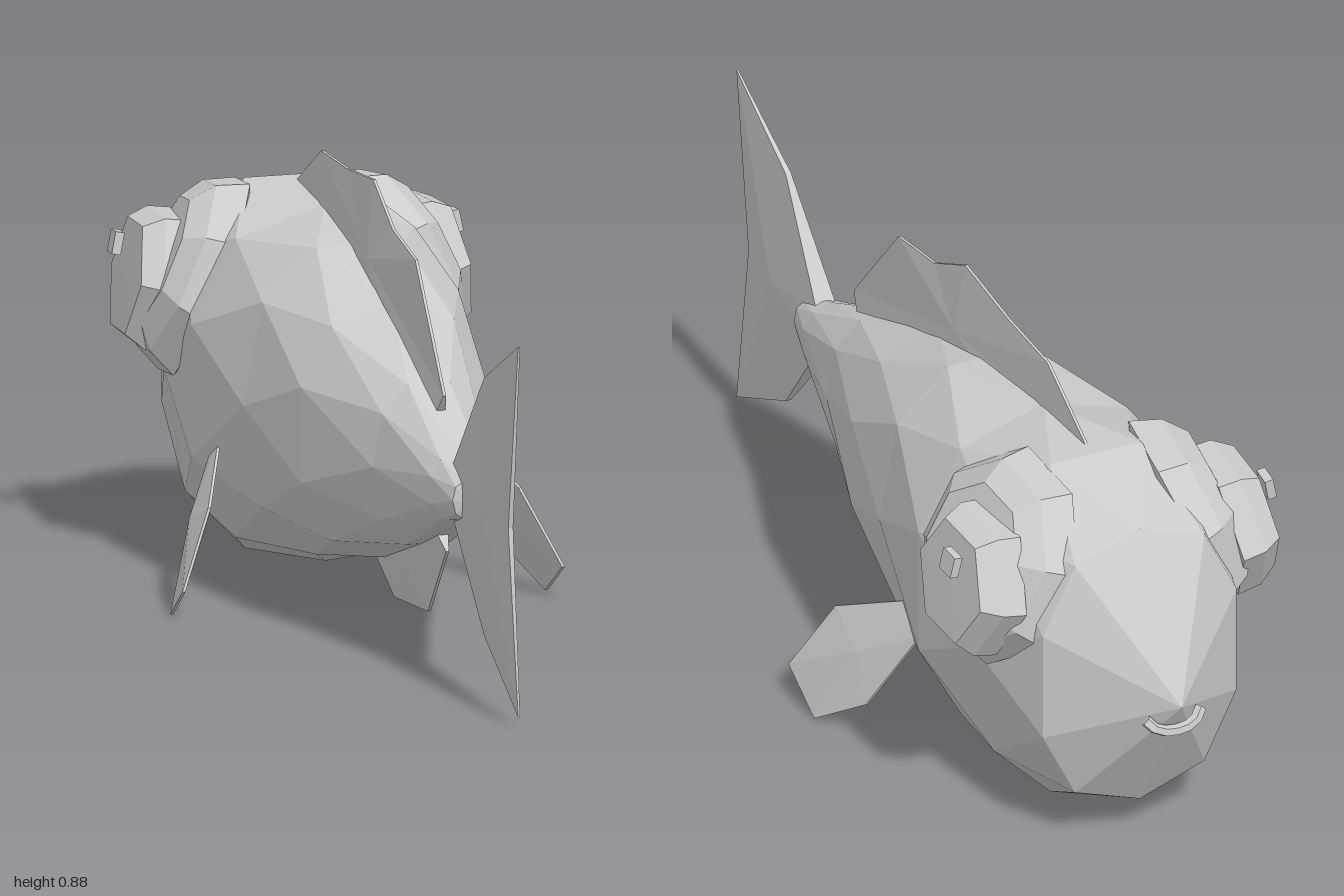
import * as THREE from 'three';

const grey = new THREE.MeshStandardMaterial({ color: 0xcccccc, flatShading: true });
grey.name = 'plain grey';

function mesh(name, geometry) {
  const m = new THREE.Mesh(geometry, grey);
  m.name = name;
  return m;
}

function fromTriangles(points, faces) {
  const g = new THREE.BufferGeometry();
  g.setAttribute('position', new THREE.Float32BufferAttribute(points.flat(), 3));
  g.setIndex(faces.flat());
  const flat = g.toNonIndexed();
  flat.computeVertexNormals();
  return flat;
}

// Body: staggered ten-sided rings from nose to tail stem
function bodyGeometry() {
  const N = 10;
  // z, bottom, top, half width
  const rings = [
    [-0.81, 0.08, 0.70, 0.212], [-0.61, 0.015, 0.765, 0.265], [-0.38, 0.035, 0.757, 0.275],
    [-0.13, 0.11, 0.73, 0.24], [0.1, 0.15, 0.668, 0.188], [0.36, 0.238, 0.56, 0.116],
    [0.58, 0.325, 0.472, 0.06], [0.665, 0.355, 0.435, 0.04],
  ];
  const soft = (v) => Math.sign(v) * Math.abs(v) ** 0.84;
  const points = [[0, 0.39, -1]];
  const faces = [];
  rings.forEach(([z, lo, hi, w], i) => {
    const shift = (i % 2) / 2;
    const step = (2 * Math.PI) / N;
    const topMax = soft(Math.cos(shift * step));
    const sideMax = shift ? 1 : soft(Math.sin(2 * step));
    for (let j = 0; j < N; j++) {
      const t = (j + shift) * step;
      points.push([
        w * soft(Math.sin(t)) / sideMax,
        (lo + hi) / 2 + ((hi - lo) / 2) * soft(Math.cos(t)) / topMax,
        z,
      ]);
    }
  });
  const at = (i, j) => 1 + i * N + (j % N);
  const last = rings.length - 1;
  points.push([0, 0.395, 0.68]);
  for (let j = 0; j < N; j++) {
    faces.push([0, at(0, j), at(0, j + 1)]);
    for (let i = 0; i < last; i++) {
      const k = j + (i % 2);
      faces.push([at(i, j), at(i + 1, k), at(i, j + 1)]);
      faces.push([at(i, j + 1), at(i + 1, k), at(i + 1, k + 1)]);
    }
    faces.push([at(last, j), points.length - 1, at(last, j + 1)]);
  }
  return fromTriangles(points, faces);
}

// Fin: closed lens over an outline of [x, y, z, half thickness], thickened along x
function finGeometry(outline) {
  const n = outline.length;
  const mid = [0, 1, 2].map((k) => outline.reduce((s, p) => s + p[k], 0) / n);
  const points = [];
  for (const s of [1, -1]) {
    for (const [x, y, z, t] of outline) points.push([x + s * t, y, z]);
    points.push([mid[0] + s * 0.02, mid[1], mid[2]]);
  }
  // Direction of the outline decides which way the corners run
  let area = 0;
  outline.forEach((p, i) => {
    const q = outline[(i + 1) % n];
    area += p[1] * q[2] - q[1] * p[2];
  });
  const faces = [];
  for (let i = 0; i < n; i++) {
    const a = i, b = (i + 1) % n, c = a + n + 1, d = b + n + 1;
    faces.push([n, a, b], [2 * n + 1, d, c], [a, c, b], [b, c, d]);
  }
  return fromTriangles(points, area > 0 ? faces : faces.map((f) => [f[0], f[2], f[1]]));
}

function lathe(profile, sides, start) {
  const pts = profile.map(([r, y]) => new THREE.Vector2(r, y));
  return new THREE.LatheGeometry(pts, sides, start);
}

// Points a lathe or box axis outward from the head
function aim(object, side, x, y, z, up, forward) {
  object.position.set(side * x, y, z);
  const axis = new THREE.Vector3(side, up, -forward).normalize();
  object.quaternion.setFromUnitVectors(new THREE.Vector3(0, 1, 0), axis);
  return object;
}

// Eye: domed eight-sided socket, bevelled six-sided ball and a small glint
function eye(side, label) {
  const g = new THREE.Group();
  g.name = label + 'Eye';
  const socket = mesh('eyeSocket', lathe([[0, -0.03], [0.15, -0.03], [0.22, 0], [0.19, 0.06], [0.14, 0.095], [0, 0.1]], 8, Math.PI / 8));
  const ball = mesh('eyeball', lathe([[0, -0.03], [0.155, -0.03], [0.152, 0.02], [0.125, 0.06], [0, 0.062]], 6, 0));
  const glint = mesh('eyeGlint', new THREE.BoxGeometry(0.045, 0.018, 0.045));
  g.add(
    aim(socket, side, 0.186, 0.573, -0.598, 0.44, 0.16),
    aim(ball, side, 0.274, 0.565, -0.638, 0.18, 0.05),
    aim(glint, side, 0.346, 0.637, -0.67, 0.2, 0.08),
  );
  return g;
}

export function createModel() {
  const model = new THREE.Group();
  model.name = 'fish';
  model.add(mesh('body', bodyGeometry()));

  // Fins on the centre line
  model.add(mesh('dorsalFin', finGeometry([
    [0, 0.56, 0.47, 0.003], [0, 0.79, 0.27, 0.003], [0, 0.815, 0.11, 0.003],
    [0, 0.885, -0.03, 0.003], [0, 0.865, -0.22, 0.003], [0, 0.86, -0.4, 0.003],
    [0, 0.765, -0.57, 0.003], [0, 0.68, -0.3, 0.02], [0, 0.6, 0.1, 0.025], [0, 0.49, 0.42, 0.015],
  ])));
  model.add(mesh('analFin', finGeometry([
    [0, 0.25, 0.49, 0.003], [0, 0.1, 0.36, 0.003], [0, 0.075, 0.12, 0.003],
    [0, 0.13, 0, 0.005], [0, 0.22, 0.08, 0.02], [0, 0.31, 0.42, 0.02],
  ])));
  model.add(mesh('tailFin', finGeometry([
    [0, 0.45, 0.6, 0.022], [0, 0.665, 0.77, 0.006], [0, 0.78, 1, 0.002], [0, 0.4, 0.94, 0.005],
    [0, 0.03, 1, 0.002], [0, 0.145, 0.77, 0.006], [0, 0.35, 0.6, 0.022],
  ])));

  // Paired fins and eyes
  for (const [side, label] of [[1, 'left'], [-1, 'right']]) {
    const outline = [
      [0.25, 0.31, -0.27], [0.242, 0.3, -0.33], [0.25, 0.265, -0.34], [0.325, 0.08, -0.25],
      [0.384, 0.005, -0.14], [0.389, 0.075, -0.035], [0.318, 0.225, -0.1],
    ].map(([x, y, z]) => [side * x, y, z, 0.003]);
    model.add(mesh(label + 'PectoralFin', finGeometry(outline)));
    model.add(eye(side, label));
  }

  // Mouth: small curved lip under the nose
  const smile = new THREE.CatmullRomCurve3([
    [-0.06, 0.355, -0.96], [-0.04, 0.335, -0.973], [0, 0.328, -0.978], [0.04, 0.335, -0.973], [0.06, 0.355, -0.96],
  ].map((p) => new THREE.Vector3(...p)));
  model.add(mesh('mouth', new THREE.TubeGeometry(smile, 6, 0.012, 5)));
  return model;
}
